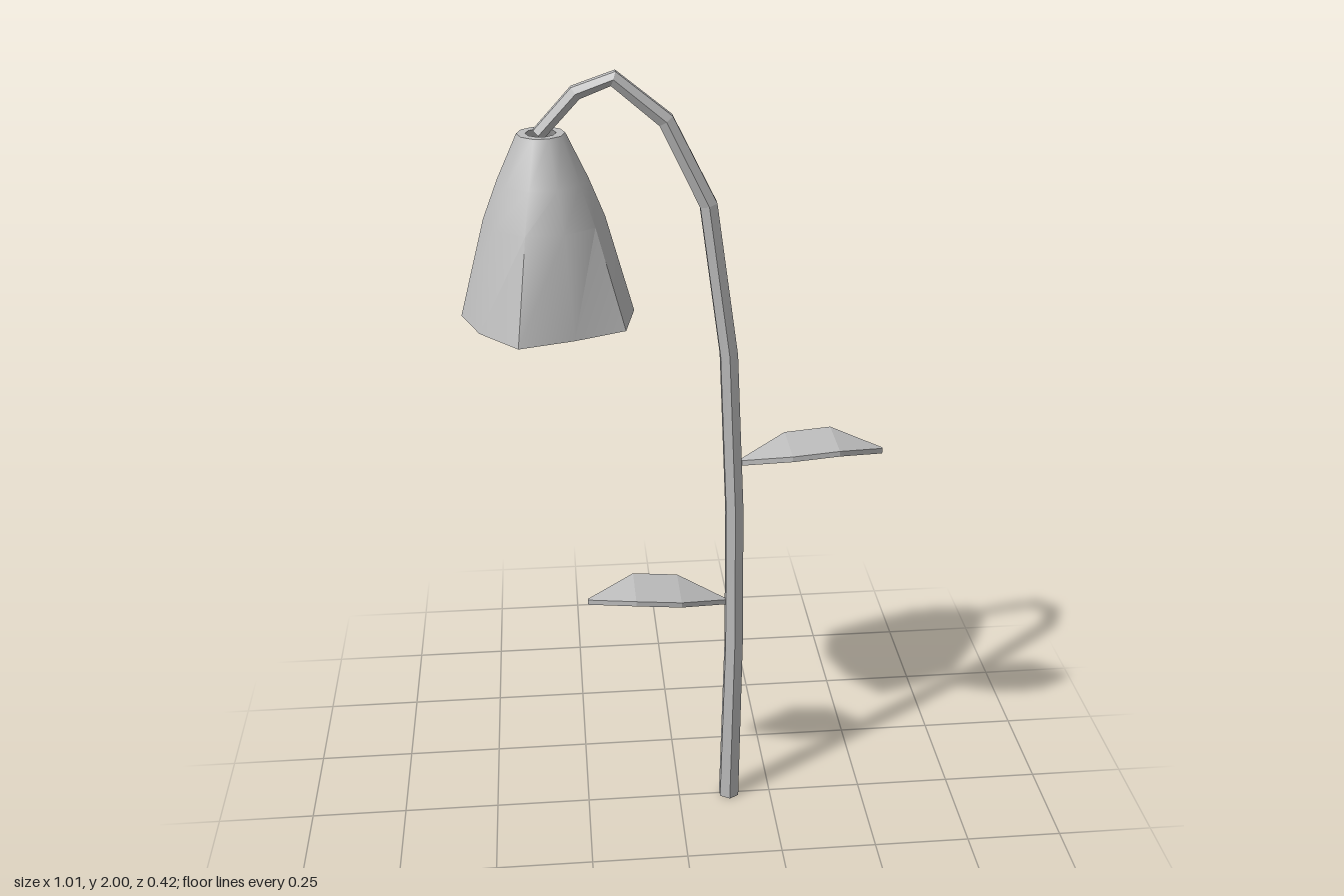
import * as THREE from 'three';
import { toCreasedNormals } from 'three/addons/utils/BufferGeometryUtils.js';

// Skin a list of equal-sized rings; closed joins last ring to first, otherwise ends are capped
function loft(rings, closed = false) {
  const n = rings[0].length, m = rings.length, pos = [], idx = [];
  rings.forEach(r => r.forEach(p => pos.push(...p)));
  for (let i = 0; i < (closed ? m : m - 1); i++) {
    for (let j = 0; j < n; j++) {
      const a = i * n + j, b = i * n + (j + 1) % n;
      const k = (i + 1) % m, c = k * n + (j + 1) % n, d = k * n + j;
      idx.push(a, b, c, a, c, d);
    }
  }
  if (!closed) {
    const e = (m - 1) * n;
    for (let j = 1; j < n - 1; j++) idx.push(0, j + 1, j, e, e + j, e + j + 1);
  }
  const g = new THREE.BufferGeometry();
  g.setAttribute('position', new THREE.Float32BufferAttribute(pos, 3));
  g.setIndex(idx);
  return g;
}

function addMesh(parent, geometry, material, name, crease = 0.1) {
  const mesh = new THREE.Mesh(toCreasedNormals(geometry, crease), material);
  mesh.name = name;
  parent.add(mesh);
  return mesh;
}

// Hexagonal stalk that tapers along a bent path in the x-y plane
function stemGeometry() {
  const path = [[0.137, 0], [0.143, 0.5], [0.138, 0.9], [0.118, 1.32], [0.066, 1.69],
    [-0.03, 1.885], [-0.145, 1.98], [-0.228, 1.95], [-0.312, 1.86]];
  const radii = [0.029, 0.026, 0.025, 0.024, 0.023, 0.021, 0.019, 0.018, 0.017];
  return loft(path.map(([x, y], i) => {
    const a = path[Math.max(i - 1, 0)], b = path[Math.min(i + 1, path.length - 1)];
    const len = Math.hypot(b[0] - a[0], b[1] - a[1]);
    const tx = (b[0] - a[0]) / len, ty = (b[1] - a[1]) / len;
    return Array.from({ length: 6 }, (_, j) => {
      const t = Math.PI / 6 + j * Math.PI / 3, c = radii[i] * Math.cos(t);
      return [x - ty * c, y + tx * c, radii[i] * Math.sin(t)];
    });
  }));
}

// Ten-sided bell, round at the neck and angular at the rim, with a thin wall
function bellGeometry() {
  const rim = [0.2, 0.193, 0.222, 0.184, 0.215];
  const ring = (y, r, blend, inset) => Array.from({ length: 10 }, (_, j) => {
    const t = j * Math.PI / 5;
    const q = THREE.MathUtils.lerp(r, rim[j % 5], blend) - inset;
    return [q * Math.cos(t), y, -q * Math.sin(t)];
  });
  return loft([
    ring(1.44, 0.2, 1, 0), ring(1.67, 0.132, 0.08, 0), ring(1.76, 0.102, 0, 0), ring(1.863, 0.054, 0, 0),
    ring(1.863, 0.054, 0, 0.02), ring(1.76, 0.102, 0, 0.018), ring(1.67, 0.132, 0.08, 0.018), ring(1.445, 0.2, 1, 0.018),
  ], true);
}

// Arched six-cornered leaf growing along +x from its base
function leafGeometry() {
  const stations = [[0, 0, 0.004], [0.12, 0.038, 0.069], [0.235, 0.048, 0.069], [0.355, 0.018, 0.003]];
  const t = 0.007;
  return loft(stations.map(([x, y, w]) => [
    [x, y + t, -w], [x, y + t, w], [x, y - t, w], [x, y - t, -w],
  ]));
}

export function createModel() {
  const grey = new THREE.MeshStandardMaterial({ color: 0xbdbdbd });
  grey.name = 'light grey';
  const teal = new THREE.MeshStandardMaterial({ color: 0xa8d4d6 });
  teal.name = 'pale teal';

  const model = new THREE.Group();
  model.name = 'bellFlowerLamp';
  addMesh(model, stemGeometry(), grey, 'stem');

  // Hanging blossom with its glowing bulb
  const blossom = new THREE.Group();
  blossom.name = 'blossom';
  blossom.position.x = -0.306;
  addMesh(blossom, bellGeometry(), grey, 'bell', 0.66);
  const bulb = new THREE.Mesh(new THREE.SphereGeometry(0.082, 20, 14), teal);
  bulb.name = 'bulb';
  bulb.position.y = 1.54;
  blossom.add(bulb);
  model.add(blossom);

  // Two leaves on opposite sides of the stem
  const leaf = leafGeometry();
  addMesh(model, leaf, grey, 'upperLeaf').position.set(0.15, 1.028, 0);
  const lower = addMesh(model, leaf, grey, 'lowerLeaf');
  lower.position.set(0.12, 0.626, 0);
  lower.rotation.y = Math.PI;
  return model;
}
